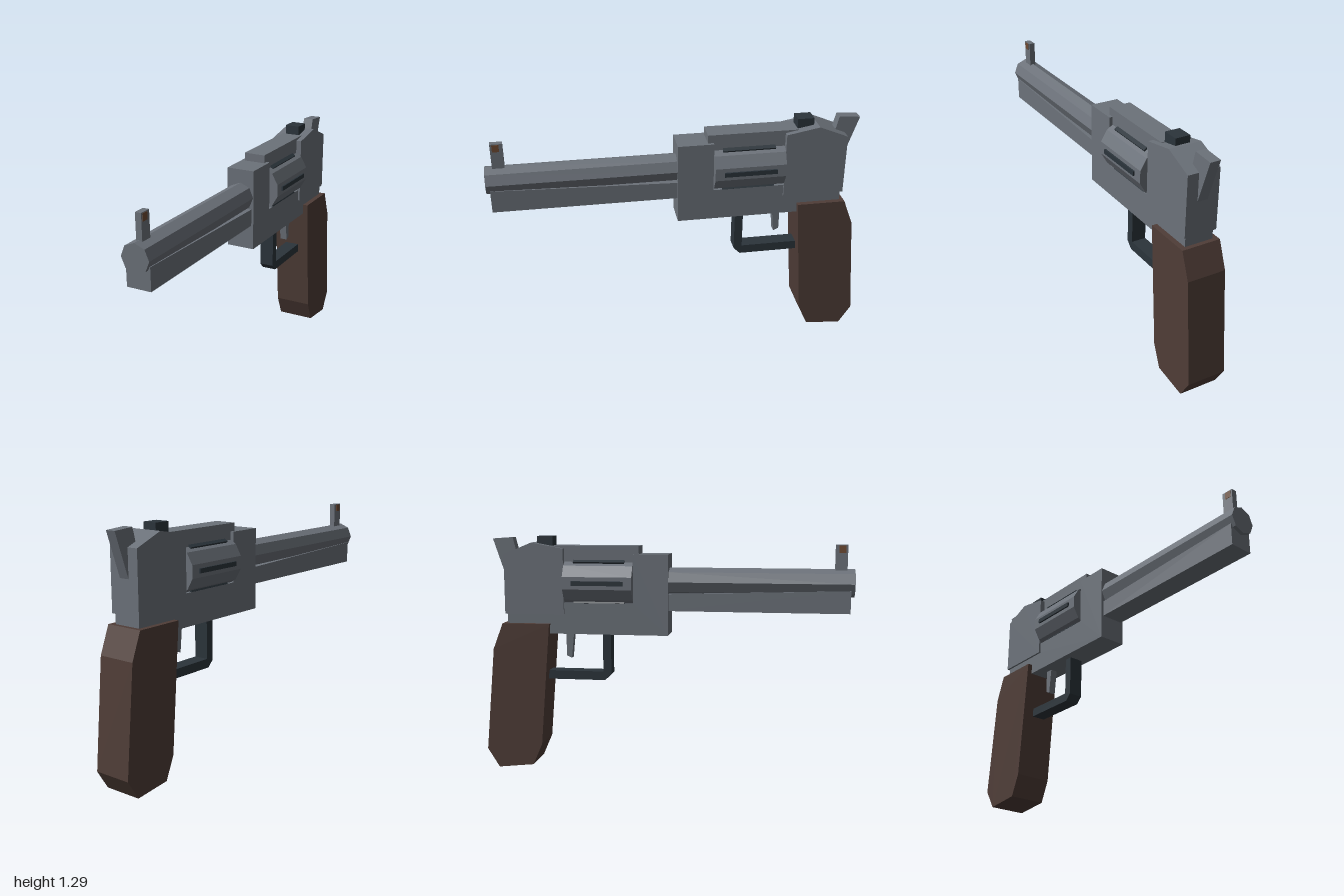
import * as THREE from 'three';

const material = (name, color) => {
  const m = new THREE.MeshStandardMaterial({ color });
  m.name = name;
  return m;
};

export function createModel() {
  const steel = material('steel', 0x6c727a);
  const darkSteel = material('dark steel', 0x2b343b);
  const wood = material('wood', 0x4f3d37);
  const copper = material('copper', 0x6e4a32);

  const model = new THREE.Group();
  model.name = 'revolver';

  const add = (name, geometry, mat, parent = model) => {
    const flat = geometry.index ? geometry.toNonIndexed() : geometry;
    flat.computeVertexNormals();
    const mesh = new THREE.Mesh(flat, mat);
    mesh.name = name;
    parent.add(mesh);
    return mesh;
  };

  // Side profile of [z, y] points, extruded symmetrically across x
  const slab = (name, points, halfWidth, mat) => {
    const shape = new THREE.Shape(points.map(([z, y]) => new THREE.Vector2(z, y)));
    const g = new THREE.ExtrudeGeometry(shape, { depth: halfWidth * 2, bevelEnabled: false });
    g.translate(0, 0, -halfWidth).rotateY(-Math.PI / 2);
    return add(name, g, mat);
  };

  const block = (name, z0, z1, y0, y1, halfWidth, mat) =>
    slab(name, [[z0, y0], [z1, y0], [z1, y1], [z0, y1]], halfWidth, mat);

  // Prism lying along z
  const prism = (name, radius, sides, z0, z1, y, turn) => {
    const g = new THREE.CylinderGeometry(radius, radius, z1 - z0, sides, 1, false, turn);
    g.rotateX(Math.PI / 2).translate(0, y, (z0 + z1) / 2);
    return add(name, g, steel);
  };

  // Barrel and the slightly tapered lug beneath it
  prism('barrel', 0.075, 8, 0, 1, 1.05, 0);
  slab('barrelLug', [[0, 0.895], [0.98, 0.895], [0.98, 1.015], [0, 0.985]], 0.065, steel);

  // Front sight with a coloured insert on both sides
  block('frontSight', 0.897, 0.96, 1.115, 1.252, 0.016, steel);
  block('frontSightInsert', 0.915, 0.95, 1.21, 1.248, 0.018, copper);

  // Frame: front block and lower rail in one profile, plus strap and rear housing
  slab('frame', [
    [0.02, 0.762], [0.02, 1.197], [-0.17, 1.197], [-0.17, 0.932], [-0.87, 0.932], [-0.87, 0.762],
  ], 0.077, steel);
  block('topStrap', -0.62, -0.14, 1.14, 1.24, 0.059, steel);
  slab('rearFrame', [
    [-0.55, 0.87], [-0.55, 1.225], [-0.725, 1.257], [-0.88, 1.193], [-0.88, 0.87],
  ], 0.088, steel);
  block('rearSight', -0.705, -0.617, 1.22, 1.29, 0.04, darkSteel);

  // Cylinder with six dark flutes
  const cylinderY = 1.043;
  prism('cylinder', 0.13, 12, -0.548, -0.17, cylinderY, Math.PI / 12);
  const flutes = new THREE.Group();
  flutes.name = 'cylinderFlutes';
  flutes.position.set(0, cylinderY, 0);
  model.add(flutes);
  for (let i = 0; i < 6; i++) {
    const g = new THREE.BoxGeometry(0.03, 0.024, 0.28);
    g.translate(0.12, 0, -0.358).rotateZ(i * Math.PI / 3);
    add('flute', g, darkSteel, flutes);
  }

  // Hammer, trigger and trigger guard
  slab('hammer', [
    [-0.845, 1.283], [-0.957, 1.275], [-0.88, 1.045], [-0.8, 1.1],
  ], 0.028, steel);
  slab('trigger', [
    [-0.51, 0.78], [-0.555, 0.78], [-0.555, 0.632], [-0.526, 0.62],
  ], 0.02, steel);
  slab('triggerGuard', [
    [-0.3, 0.78], [-0.3, 0.537], [-0.335, 0.502], [-0.68, 0.502],
    [-0.68, 0.55], [-0.345, 0.55], [-0.345, 0.78],
  ], 0.04, darkSteel);

  // Grip
  slab('grip', [
    [-0.63, 0.817], [-0.892, 0.817], [-0.947, 0.675], [-1, 0.105],
    [-0.935, 0], [-0.737, 0.022], [-0.685, 0.142],
  ], 0.105, wood);

  return model;
}
